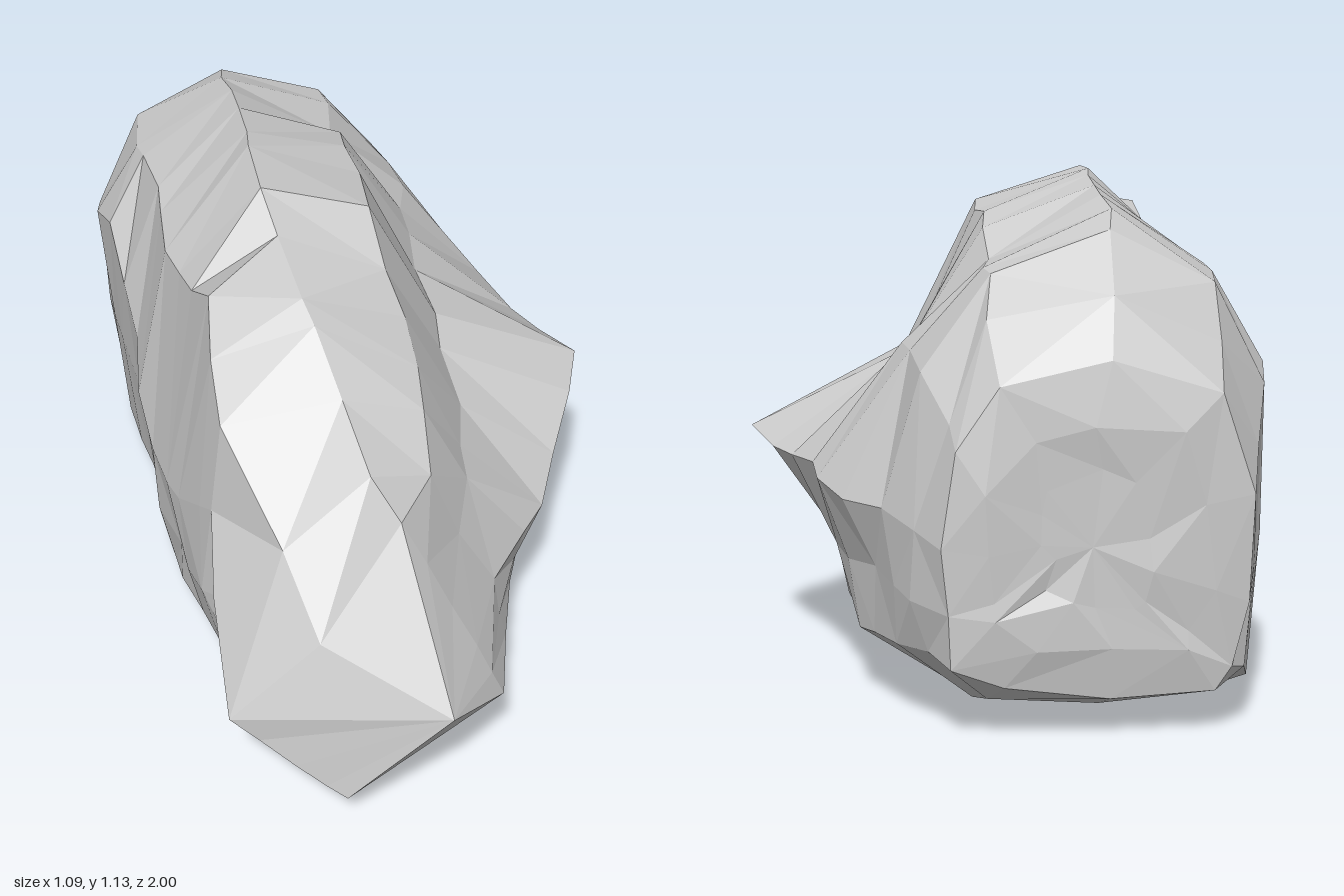
import * as THREE from 'three';

// Cross-sections from front to back: z, left, lower right, right, flank,
// right shoulder, top, left shoulder (x and y each), base height
const SECTIONS = [
  [0.41, -0.48, 0.57, 0.23, 0.22, 0.26, 0.37, 0.11, 0.57, 0.01, 0.77, -0.18, 0.84, -0.45, 0.80, 0.05],
  [0.20, -0.52, 0.46, 0.31, 0.20, 0.40, 0.42, 0.17, 0.59, 0.03, 0.87, -0.22, 0.99, -0.43, 1.03, 0.03],
  [-0.03, -0.54, 0.45, 0.31, 0.20, 0.54, 0.52, 0.17, 0.71, 0.00, 1.05, -0.25, 1.13, -0.45, 0.94, 0.01],
  [-0.30, -0.52, 0.60, 0.33, 0.16, 0.46, 0.49, 0.19, 0.75, 0.02, 1.04, -0.22, 1.12, -0.44, 0.94, 0.00],
  [-0.55, -0.53, 0.78, 0.33, 0.15, 0.42, 0.48, 0.23, 0.77, 0.04, 0.95, -0.20, 1.09, -0.43, 0.94, 0.00],
  [-0.79, -0.52, 0.70, 0.27, 0.16, 0.30, 0.45, 0.22, 0.74, 0.07, 0.94, -0.18, 1.03, -0.40, 0.92, 0.02],
  [-0.975, -0.45, 0.50, 0.18, 0.15, 0.20, 0.40, 0.17, 0.60, 0.08, 0.73, -0.15, 0.78, -0.38, 0.71, 0.08],
];

// Front rim around the pointed nose, in the same order as sectionLoop
const NOSE_RIM = [
  [-0.1, 0.19, 0.86], [0.08, 0.27, 0.83], [0.05, 0.34, 0.83], [0.02, 0.41, 0.81], [-0.03, 0.51, 0.78],
  [-0.08, 0.62, 0.75], [-0.13, 0.72, 0.72], [-0.33, 0.48, 0.79], [-0.53, 0.27, 0.75], [-0.47, 0.22, 0.78],
  [-0.4, 0.17, 0.83], [-0.34, 0.13, 0.87], [-0.3, 0.11, 0.9],
].map((p) => new THREE.Vector3(...p));
const NOSE_TIP = new THREE.Vector3(-0.09, 0.39, 1);

// One section as a counter-clockwise loop, starting under the right side
function sectionLoop([z, lx, ly, bx, by, rx, ry, fx, fy, sx, sy, tx, ty, mx, my, base]) {
  return [
    [bx * 0.5 - 0.02, base + 0.03], [bx, by], [bx + (rx - bx) * 0.25, by + (ry - by) * 0.45],
    [rx, ry], [fx, fy], [sx, sy], [tx, ty], [mx, my],
    [lx, ly], [lx + 0.01, ly * 0.55], [lx + 0.045, base + 0.06], [-0.37, base + 0.01], [-0.15, base],
  ].map(([x, y]) => new THREE.Vector3(x, y, z));
}

function seeded(seed) {
  let s = seed;
  return () => {
    s = (s * 16807) % 2147483647;
    return s / 2147483647;
  };
}

function rockGeometry() {
  const rand = seeded(4711);
  const chip = (v, amount) => {
    v.add(new THREE.Vector3(rand() - 0.5, rand() - 0.5, rand() - 0.5).multiplyScalar(amount));
    v.y = Math.max(v.y, 0.005);
    return v;
  };

  // Stagger the sections along z, except at the back
  const loops = [NOSE_RIM, ...SECTIONS.map(sectionLoop)];
  loops.slice(1, -1).forEach((loop) => loop.forEach((p) => { p.z += (rand() - 0.5) * 0.06; }));

  // Add a chipped loop between every two sections
  const rings = [loops[0]];
  for (let i = 1; i < loops.length; i++) {
    rings.push(loops[i].map((p, j) => chip(loops[i - 1][j].clone().lerp(p, 0.36 + rand() * 0.28), 0.035)));
    rings.push(loops[i]);
  }

  // Blunt, rumpled back
  const hub = new THREE.Vector3(-0.11, 0.4, -0.985);
  const rim = rings[rings.length - 1];
  [0.3, 0.65].forEach((t) => rings.push(rim.map((p) => {
    const q = chip(p.clone().lerp(hub, t), 0.06);
    q.z = -1 + rand() * 0.02;
    return q;
  })));

  const positions = [];
  const tri = (...corners) => corners.forEach((v) => positions.push(v.x, v.y, v.z));
  const n = rim.length;
  const back = rings[rings.length - 1];
  for (let j = 0; j < n; j++) {
    const k = (j + 1) % n;
    tri(rings[0][j], rings[0][k], NOSE_TIP);
    tri(back[j], hub, back[k]);
    // Skin, with each patch split along a varying diagonal
    for (let i = 0; i < rings.length - 1; i++) {
      const a = rings[i][j], b = rings[i][k], c = rings[i + 1][j], d = rings[i + 1][k];
      if (rand() < 0.5) { tri(a, c, b); tri(b, c, d); }
      else { tri(a, c, d); tri(a, d, b); }
    }
  }

  const geometry = new THREE.BufferGeometry();
  geometry.setAttribute('position', new THREE.Float32BufferAttribute(positions, 3));
  geometry.computeVertexNormals();
  return geometry;
}

export function createModel() {
  const group = new THREE.Group();
  group.name = 'boulder';
  const material = new THREE.MeshStandardMaterial({ color: 0xcccccc, flatShading: true });
  const rock = new THREE.Mesh(rockGeometry(), material);
  rock.name = 'rock';
  group.add(rock);
  return group;
}
